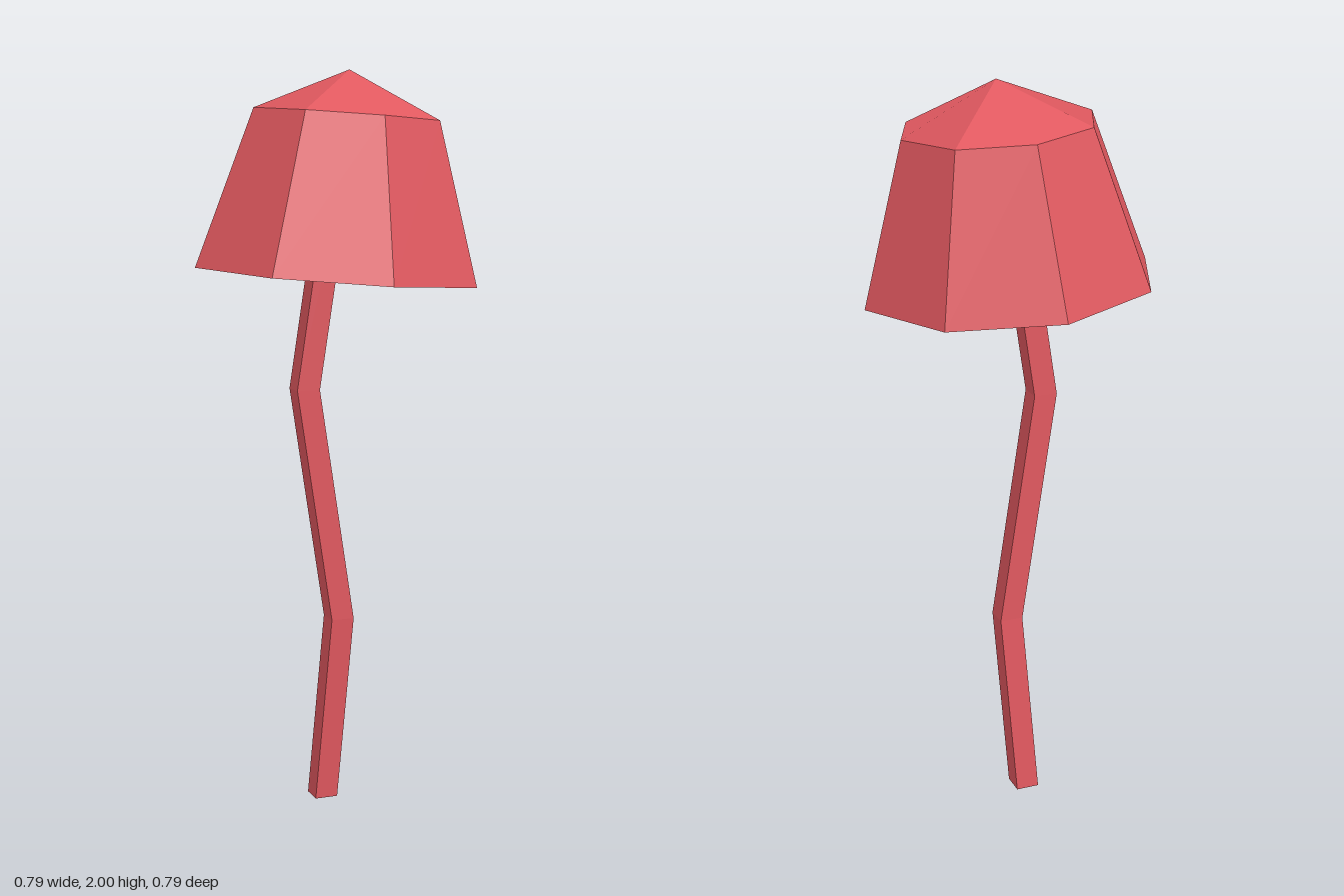
import * as THREE from 'three';

// Ring of corners around (x, y, z); lean shears it so it drops towards +x and -z
function ring([x, y, z], radius, sides, lean = 0) {
  return Array.from({ length: sides }, (_, i) => {
    const a = (i / sides) * Math.PI * 2;
    const dx = Math.sin(a) * radius, dz = Math.cos(a) * radius;
    return new THREE.Vector3(x + dx, y + lean * (dz - dx), z + dz);
  });
}

// Faceted skin joining successive rings
function loft(rings) {
  const points = [];
  for (let r = 0; r < rings.length - 1; r++) {
    const lo = rings[r], hi = rings[r + 1], n = lo.length;
    for (let i = 0; i < n; i++) {
      const j = (i + 1) % n;
      points.push(lo[i], lo[j], hi[j], lo[i], hi[j], hi[i]);
    }
  }
  return points;
}

function facets(points) {
  const geometry = new THREE.BufferGeometry().setFromPoints(points);
  geometry.computeVertexNormals();
  return geometry;
}

export function createModel() {
  const red = new THREE.MeshStandardMaterial({ color: 0xe0585f, side: THREE.DoubleSide });
  red.name = 'coral red';
  const group = new THREE.Group();
  group.name = 'mushroom';
  const add = (name, geometry) => {
    const mesh = new THREE.Mesh(geometry, red);
    mesh.name = name;
    group.add(mesh);
  };

  // Crooked four-sided stem, closed underneath
  const stemRings = [
    [-0.06, 0, -0.03], [-0.01, 0.52, -0.03], [-0.075, 1.16, 0.048], [0.018, 1.95, -0.026],
  ].map((c) => ring(c, 0.045, 4));
  const [a, b, c, d] = stemRings[0];
  add('stem', facets([...loft(stemRings), a, c, b, a, d, c]));

  // Slightly tilted eight-sided cap, open below
  const lean = 0.053;
  const rim = ring([0, 1.465, 0], 0.394, 8, lean);
  const shoulder = ring([0.02, 1.883, -0.02], 0.26, 8, lean);
  add('capSide', facets(loft([rim, shoulder])));

  // Shallow crown of four kite-shaped facets, each with a single normal
  const apex = new THREE.Vector3(0.022, 2, -0.027);
  const points = [], normals = [];
  for (let i = 0; i < 8; i += 2) {
    const p = shoulder[i], q = shoulder[i + 1], r = shoulder[(i + 2) % 8];
    const normal = q.clone().sub(apex).cross(r.clone().sub(p)).normalize();
    points.push(apex, p, q, apex, q, r);
    for (let k = 0; k < 6; k++) normals.push(...normal.toArray());
  }
  const crown = new THREE.BufferGeometry().setFromPoints(points);
  crown.setAttribute('normal', new THREE.Float32BufferAttribute(normals, 3));
  add('capCrown', crown);

  return group;
}
